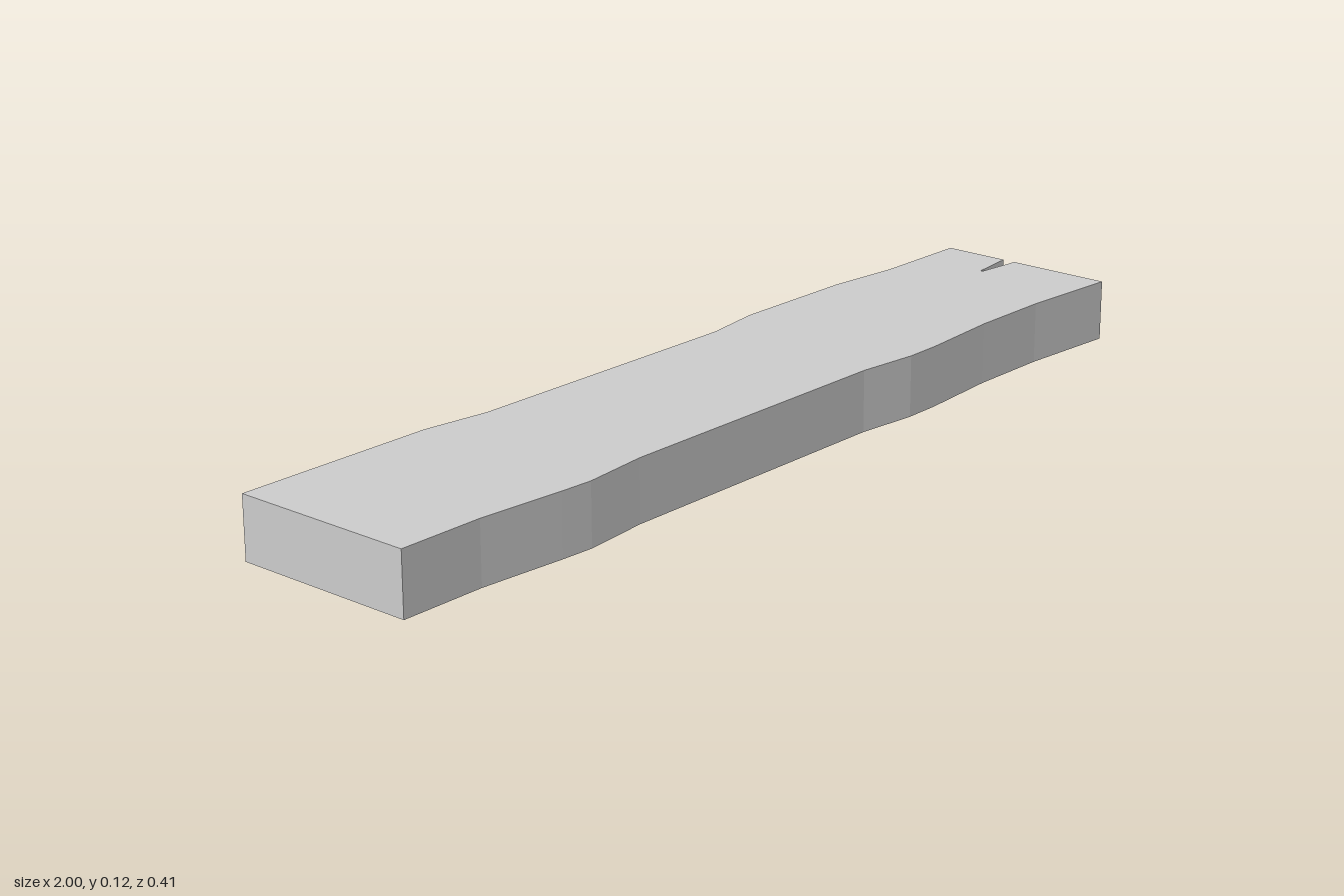
import * as THREE from 'three';

export function createModel() {
  const group = new THREE.Group();
  group.name = 'woodenPlank';
  const height = 0.125;

  // Worn outline seen from above, as [x, z]
  const frontEdge = [
    [-1, 0.185], [-0.82, 0.185], [-0.64, 0.2], [-0.57, 0.204], [-0.43, 0.19], [0.21, 0.19],
    [0.34, 0.204], [0.42, 0.203], [0.6, 0.19], [0.78, 0.19], [1, 0.205],
  ];
  const split = [[1, -0.019], [0.9, -0.03], [0.9, -0.035], [1, -0.047]];
  const backEdge = [
    [1, -0.188], [0.78, -0.188], [0.62, -0.204], [0.34, -0.204],
    [0.21, -0.185], [-0.43, -0.185], [-0.57, -0.204], [-1, -0.204],
  ];
  const outline = [...frontEdge, ...split, ...backEdge];
  const shape = new THREE.Shape(outline.map(([x, z]) => new THREE.Vector2(x, -z)));

  // Raise the outline into a board lying flat on the ground
  const geometry = new THREE.ExtrudeGeometry(shape, { depth: height, bevelEnabled: false });
  geometry.rotateX(-Math.PI / 2);

  const plank = new THREE.Mesh(
    geometry,
    new THREE.MeshStandardMaterial({ color: 0xcccccc, flatShading: true })
  );
  plank.name = 'plank';
  group.add(plank);
  return group;
}
